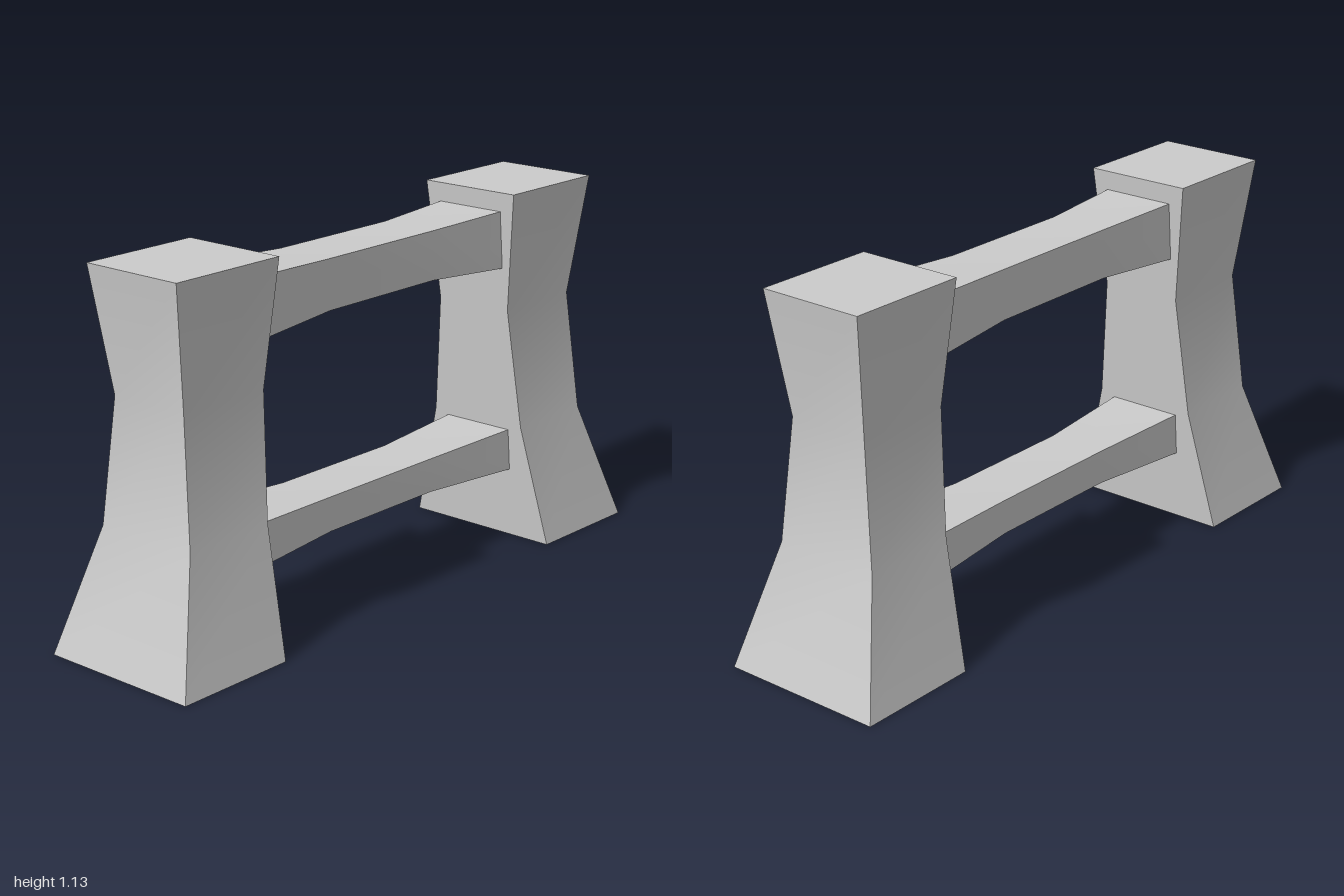
import * as THREE from 'three';

const material = new THREE.MeshStandardMaterial({ color: 0xcccccc });

// Box whose cross-section changes along y. Each section is [y, x0, x1, z0, z1].
// Sides shade smoothly along the length; the long edges stay sharp.
function taperedBeam(name, sections) {
  const n = sections.length - 1;
  const geometry = new THREE.BoxGeometry(1, 1, 1, 1, n, 1);
  const p = geometry.attributes.position;
  for (let i = 0; i < p.count; i++) {
    const [y, x0, x1, z0, z1] = sections[Math.round((p.getY(i) + 0.5) * n)];
    p.setXYZ(i, p.getX(i) > 0 ? x1 : x0, y, p.getZ(i) > 0 ? z1 : z0);
  }
  geometry.computeVertexNormals();
  const mesh = new THREE.Mesh(geometry, material);
  mesh.name = name;
  return mesh;
}

export function createModel() {
  const model = new THREE.Group();
  model.name = 'postAndRailFrame';

  // Flared posts: height, inner x, outer x, half depth
  const post = [
    [0, 0.607, 1.0, 0.262],
    [0.377, 0.577, 0.88, 0.171],
    [0.755, 0.547, 0.855, 0.133],
    [1.13, 0.518, 0.907, 0.17],
  ];
  for (const side of [1, -1]) {
    model.add(taperedBeam(side > 0 ? 'leftPost' : 'rightPost', post.map(([y, inner, outer, d]) =>
      side > 0 ? [y, inner, outer, -d, d] : [y, -outer, -inner, -d, d])));
  }

  // Rails, slimmer in the middle, with their ends sunk into the posts
  const rails = [
    { name: 'upperRail', middle: [0.907, 1.059], end: [0.883, 1.075] },
    { name: 'lowerRail', middle: [0.24, 0.347], end: [0.223, 0.363] },
  ];
  for (const { name, middle, end } of rails) {
    const section = (along, [bottom, top], d) => [along, bottom, top, -d, d];
    const rail = taperedBeam(name, [
      section(-0.66, end, 0.127),
      section(-0.23, middle, 0.095),
      section(0.23, middle, 0.095),
      section(0.66, end, 0.127),
    ]);
    // Lay the beam along x: its local x becomes height
    rail.geometry.rotateZ(Math.PI / 2).rotateX(0);
    model.add(rail);
  }
  return model;
}
